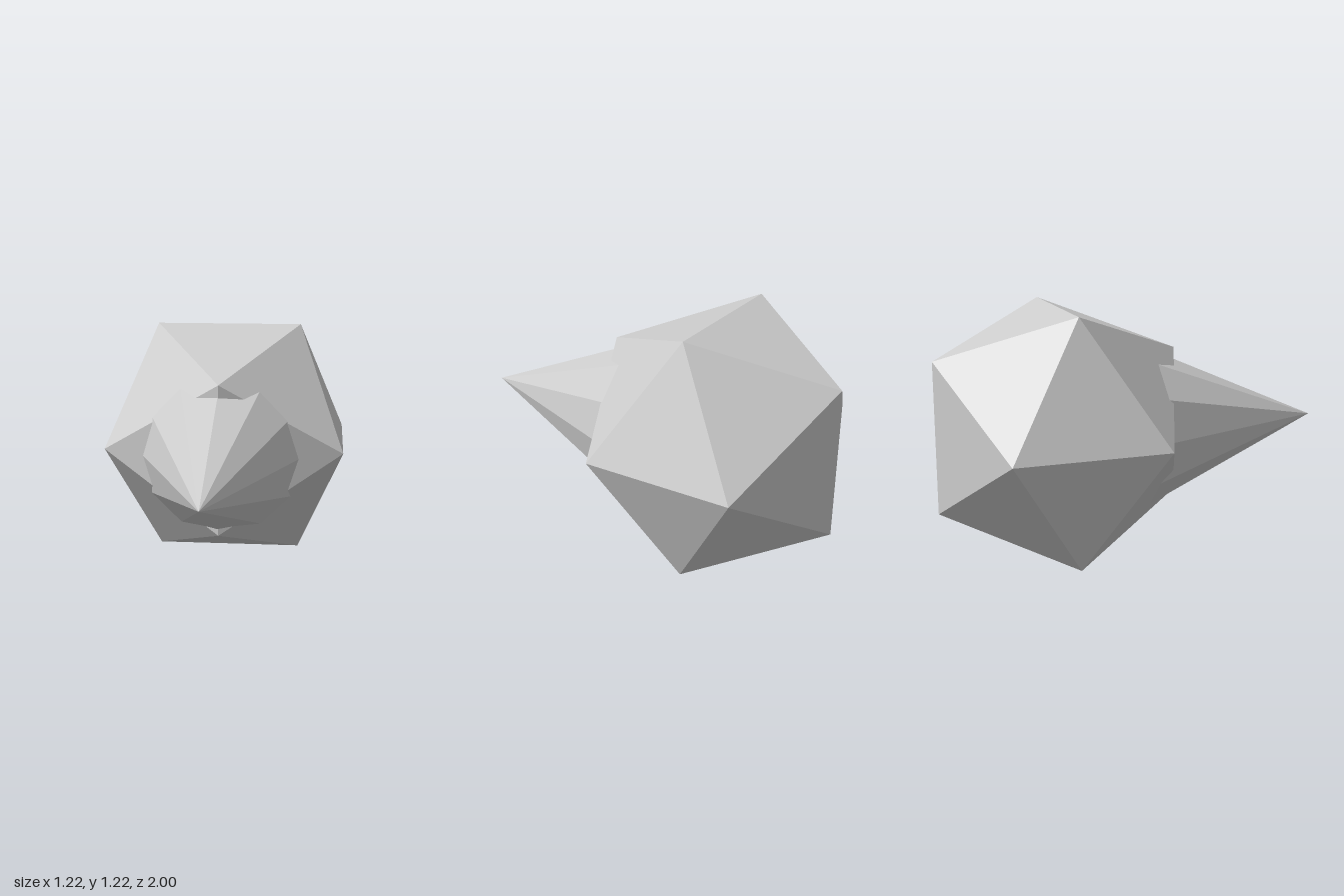
import * as THREE from 'three';

export function createModel() {
  const model = new THREE.Group();
  model.name = 'spikedBody';
  const material = new THREE.MeshStandardMaterial({ color: 0xcccccc, flatShading: true });

  const addPart = (name, geometry, x, y, z) => {
    const mesh = new THREE.Mesh(geometry, material);
    mesh.name = name;
    mesh.position.set(x, y, z);
    model.add(mesh);
  };

  // Twenty-sided body, resting on its bottom edge
  addPart('body', new THREE.IcosahedronGeometry(0.717, 0), 0, 0.61, -0.39);

  // Twelve-sided beak: tip at the origin, base sunk into the body, tilted slightly down
  const length = 1.05;
  const beak = new THREE.ConeGeometry(length * 0.422, length, 12)
    .translate(0, -length / 2, 0)
    .rotateX(Math.PI / 2 + 0.018);
  addPart('beak', beak, -0.004, 0.58, 1);

  return model;
}
